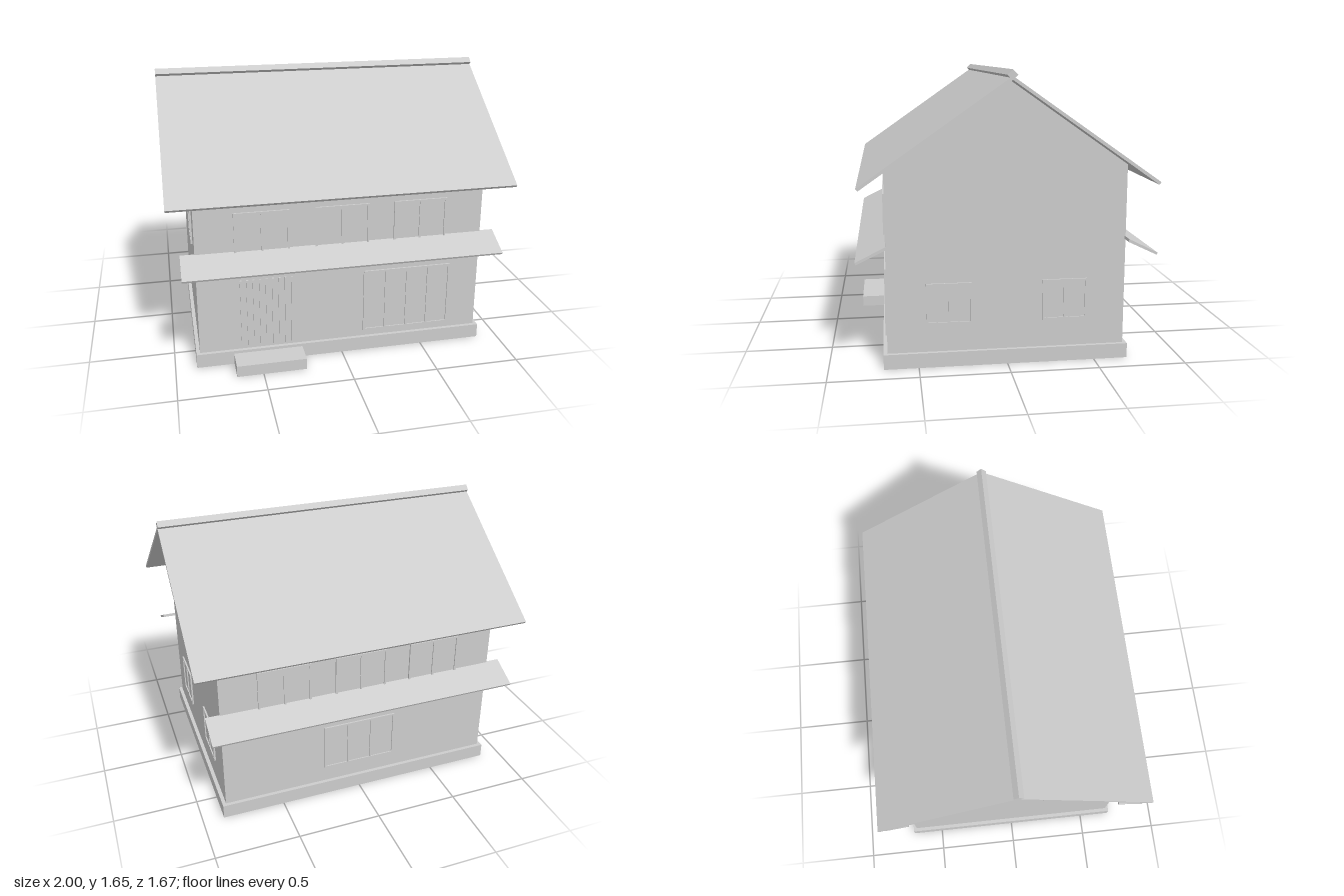
import * as THREE from 'three';

const plaster = new THREE.MeshStandardMaterial({ color: 0xcccccc });
plaster.name = 'plain grey';

const WALL_X = 0.853, WALL_Z = 0.673;

function add(parent, name, geometry) {
  const mesh = new THREE.Mesh(geometry, plaster);
  mesh.name = name;
  parent.add(mesh);
  return mesh;
}

function box(parent, name, w, h, d, x, y, z) {
  const mesh = add(parent, name, new THREE.BoxGeometry(w, h, d));
  mesh.position.set(x, y, z);
  return mesh;
}

// Prism along x from a (z, y) cross-section
function prism(parent, name, points, length) {
  const shape = new THREE.Shape(points.map(([z, y]) => new THREE.Vector2(z, y)));
  const geometry = new THREE.ExtrudeGeometry(shape, { depth: length, bevelEnabled: false });
  geometry.translate(0, 0, -length / 2).rotateY(-Math.PI / 2);
  return add(parent, name, geometry);
}

// Window facing +z: thin pane, raised frame and mullions
function makeWindow(name, w, h, panes) {
  const g = new THREE.Group();
  g.name = name;
  const bar = 0.012, depth = 0.01;
  box(g, 'pane', w, h, 0.003, 0, 0, 0.0015);
  for (const s of [-1, 1]) box(g, 'frameRail', w, bar, depth, 0, s * (h - bar) / 2, depth / 2);
  for (let i = 0; i <= panes; i++) {
    const x = -(w - bar) / 2 + (i * (w - bar)) / panes;
    box(g, 'mullion', bar, h - 2 * bar, depth, x, 0, depth / 2);
  }
  return g;
}

export function createModel() {
  const house = new THREE.Group();
  house.name = 'house';

  // Foundation, gabled walls and entrance step
  box(house, 'foundation', 1.75, 0.085, 1.39, 0, 0.0425, 0);
  prism(house, 'walls', [
    [-WALL_Z, 0.06], [WALL_Z, 0.06], [WALL_Z, 1.13], [0, 1.6], [-WALL_Z, 1.13],
  ], WALL_X * 2);
  box(house, 'entranceStep', 0.41, 0.068, 0.148, -0.45, 0.034, 0.764);

  // Main roof slopes and lower canopies, front and back
  for (const s of [1, -1]) {
    prism(house, 'roofSlope', [
      [0, 1.594], [s * 0.805, 1.03], [s * 0.816, 1.044], [0, 1.614],
    ], 2);
    prism(house, 'canopy', [
      [s * 0.666, 0.7], [s * 0.829, 0.622], [s * 0.835, 0.634], [s * 0.668, 0.717],
    ], 1.87);
  }

  // Square ridge beam turned on its edge
  prism(house, 'ridgeCap', [[0, 1.592], [0.028, 1.62], [0, 1.648], [-0.028, 1.62]], 2);

  // Upper windows, front and back
  for (const s of [1, -1]) {
    for (const x of [-0.47, 0, 0.47]) {
      const win = makeWindow('upperWindow', 0.32, 0.26, 2);
      win.position.set(x, 0.818, s * WALL_Z);
      if (s < 0) win.rotation.y = Math.PI;
      house.add(win);
    }
  }

  // Ground floor windows
  const frontWindow = makeWindow('frontWindow', 0.54, 0.396, 4);
  frontWindow.position.set(0.404, 0.321, WALL_Z);
  const backWindow = makeWindow('backWindow', 0.46, 0.296, 3);
  backWindow.position.set(0, 0.332, -WALL_Z);
  backWindow.rotation.y = Math.PI;
  house.add(frontWindow, backWindow);

  // Side windows: low on the left wall, high on the right wall
  for (const s of [1, -1]) {
    for (const z of [-0.327, 0.327]) {
      const win = makeWindow('sideWindow', 0.257, 0.235, 2);
      win.position.set(s * WALL_X, s > 0 ? 0.362 : 0.808, z);
      win.rotation.y = (s * Math.PI) / 2;
      house.add(win);
    }
  }

  // Lattice door of vertical slats
  const door = new THREE.Group();
  door.name = 'latticeDoor';
  for (let i = 0; i < 9; i++) {
    box(door, 'slat', 0.012, 0.43, 0.012, -0.6 + i * 0.0375, 0.315, WALL_Z + 0.004);
  }
  house.add(door);

  return house;
}
